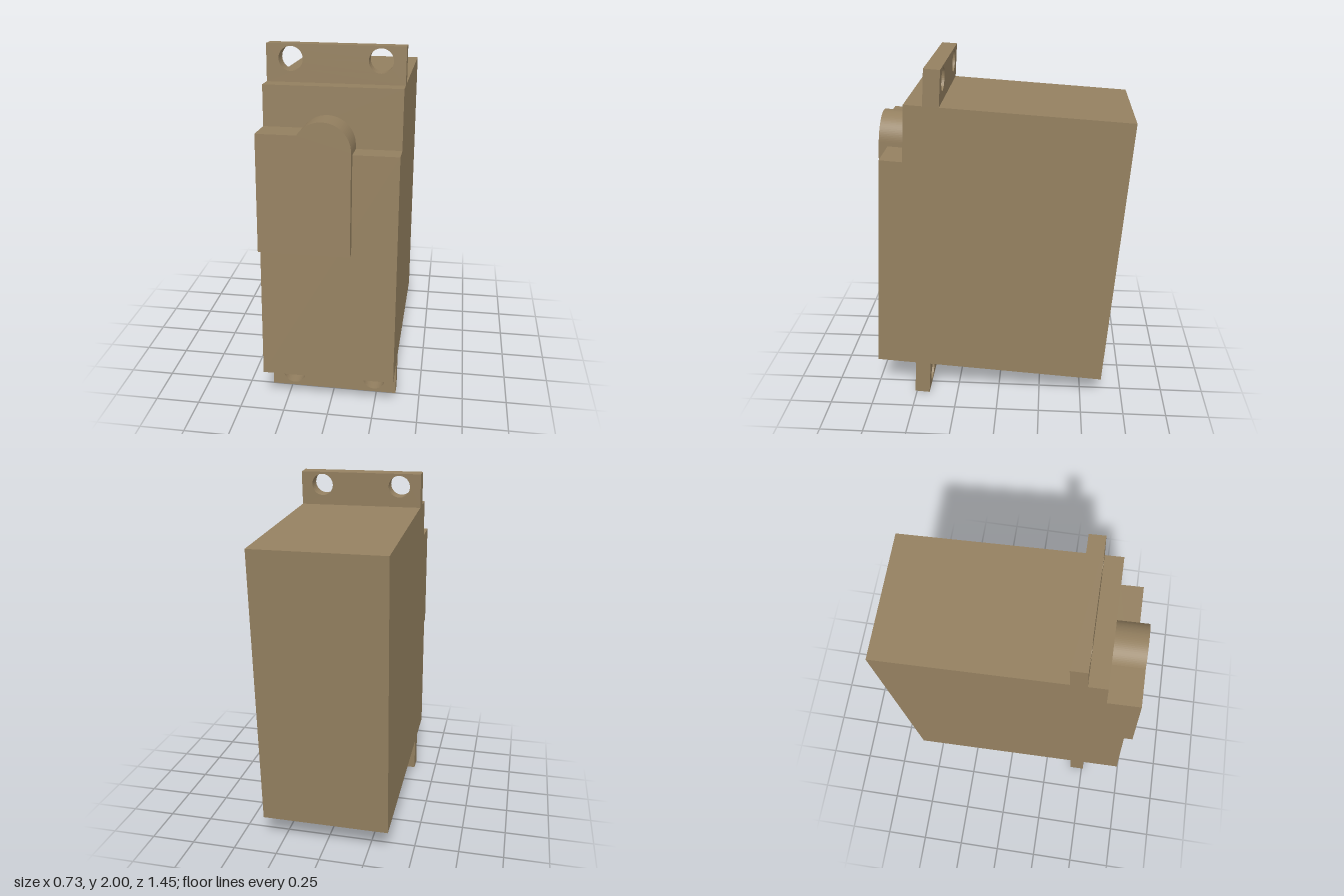
import * as THREE from 'three';

const HALF = 0.363; // half width of the housing
const FRONT = 1.347; // front face, measured from the back
const STEP_Z = 1.219; // recessed upper front face
const STEP_Y = 1.276; // height of the front step

export function createModel() {
  const tan = new THREE.MeshStandardMaterial({ color: 0x948060 });
  tan.name = 'tan plastic';

  const model = new THREE.Group();
  model.name = 'servoMotor';

  // Everything is built upright from the back bottom edge, then tilted
  const tilted = new THREE.Group();
  tilted.name = 'tiltedServo';
  tilted.position.set(0, 0.14, -0.62);
  tilted.rotation.x = -0.0655;
  model.add(tilted);

  const add = (name, shape, depth, z) => {
    const geometry = new THREE.ExtrudeGeometry(shape, { depth, bevelEnabled: false, curveSegments: 20 });
    const mesh = new THREE.Mesh(geometry, tan);
    mesh.name = name;
    mesh.position.z = z;
    tilted.add(mesh);
    return mesh;
  };

  // Housing: stepped side profile swept across the width
  const profile = new THREE.Shape([
    [0, 0], [FRONT, 0], [FRONT, STEP_Y], [STEP_Z, STEP_Y], [STEP_Z, 1.593], [0, 1.593],
  ].map(([z, y]) => new THREE.Vector2(z, y)));
  const housing = add('housing', profile, HALF * 2, 0);
  housing.rotation.y = -Math.PI / 2;
  housing.position.x = HALF;

  // Mounting tabs with two screw holes each
  const tab = (name, bottom, top, holeY) => {
    const shape = new THREE.Shape([
      new THREE.Vector2(-HALF, bottom), new THREE.Vector2(HALF, bottom),
      new THREE.Vector2(HALF, top), new THREE.Vector2(-HALF, top),
    ]);
    for (const x of [-0.235, 0.235]) {
      shape.holes.push(new THREE.Path().absarc(x, holeY, 0.064, 0, Math.PI * 2, true));
    }
    add(name, shape, 0.088, 1.03);
  };
  tab('upperMountingTab', 1.593, 1.79, 1.714);
  tab('lowerMountingTab', -0.208, 0, -0.126);

  // Gear cover outline: flat shoulder on one side, round dome on the other
  const coverShape = (bottom) => {
    const cx = -0.025, cy = 1.299, r = 0.148, shoulder = 1.376;
    const shape = new THREE.Shape();
    shape.moveTo(-HALF, bottom);
    shape.lineTo(cx + r, bottom);
    shape.lineTo(cx + r, cy);
    shape.absarc(cx, cy, r, 0, Math.PI - Math.asin((shoulder - cy) / r), false);
    shape.lineTo(-HALF, shoulder);
    return shape;
  };
  add('gearCoverPlate', coverShape(0.745), 0.05, FRONT);
  add('gearCoverBlock', coverShape(STEP_Y), FRONT - STEP_Z, STEP_Z);

  return model;
}
